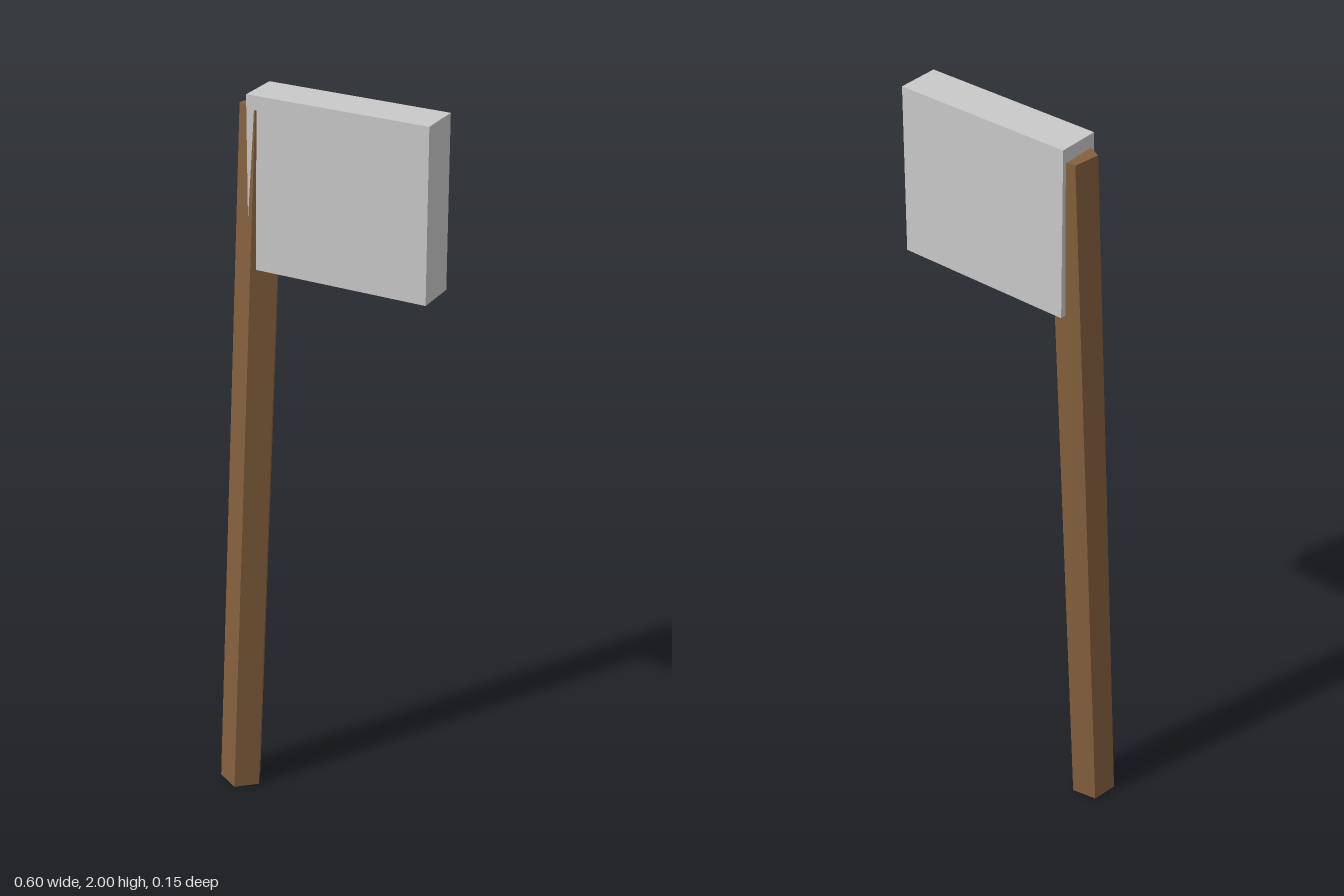
import * as THREE from 'three';

const wood = new THREE.MeshStandardMaterial({ name: 'wood', color: 0x84603d });
const steel = new THREE.MeshStandardMaterial({ name: 'steel', color: 0xc9c9c9 });

export function createModel() {
  const axe = new THREE.Group();
  axe.name = 'axe';

  // Five-sided handle, leaning slightly between its two end centres
  const bottom = new THREE.Vector3(-0.247, 0.003, 0.016);
  const top = new THREE.Vector3(-0.173, 1.963, -0.021);
  const axis = top.clone().sub(bottom);
  const shaft = new THREE.CylinderGeometry(0.0595, 0.0595, axis.length(), 5)
    .rotateY(0.148)
    .toNonIndexed();
  shaft.computeVertexNormals(); // faceted sides
  const handle = new THREE.Mesh(shaft, wood);
  handle.name = 'handle';
  handle.position.copy(bottom).add(top).multiplyScalar(0.5);
  handle.quaternion.setFromUnitVectors(new THREE.Vector3(0, 1, 0), axis.normalize());
  axe.add(handle);

  // Upright slab of a blade, set over the top of the handle
  const blade = new THREE.Mesh(new THREE.BoxGeometry(0.49, 0.45, 0.113), steel);
  blade.name = 'blade';
  blade.position.set(0.055, 1.775, -0.021);
  axe.add(blade);

  return axe;
}
